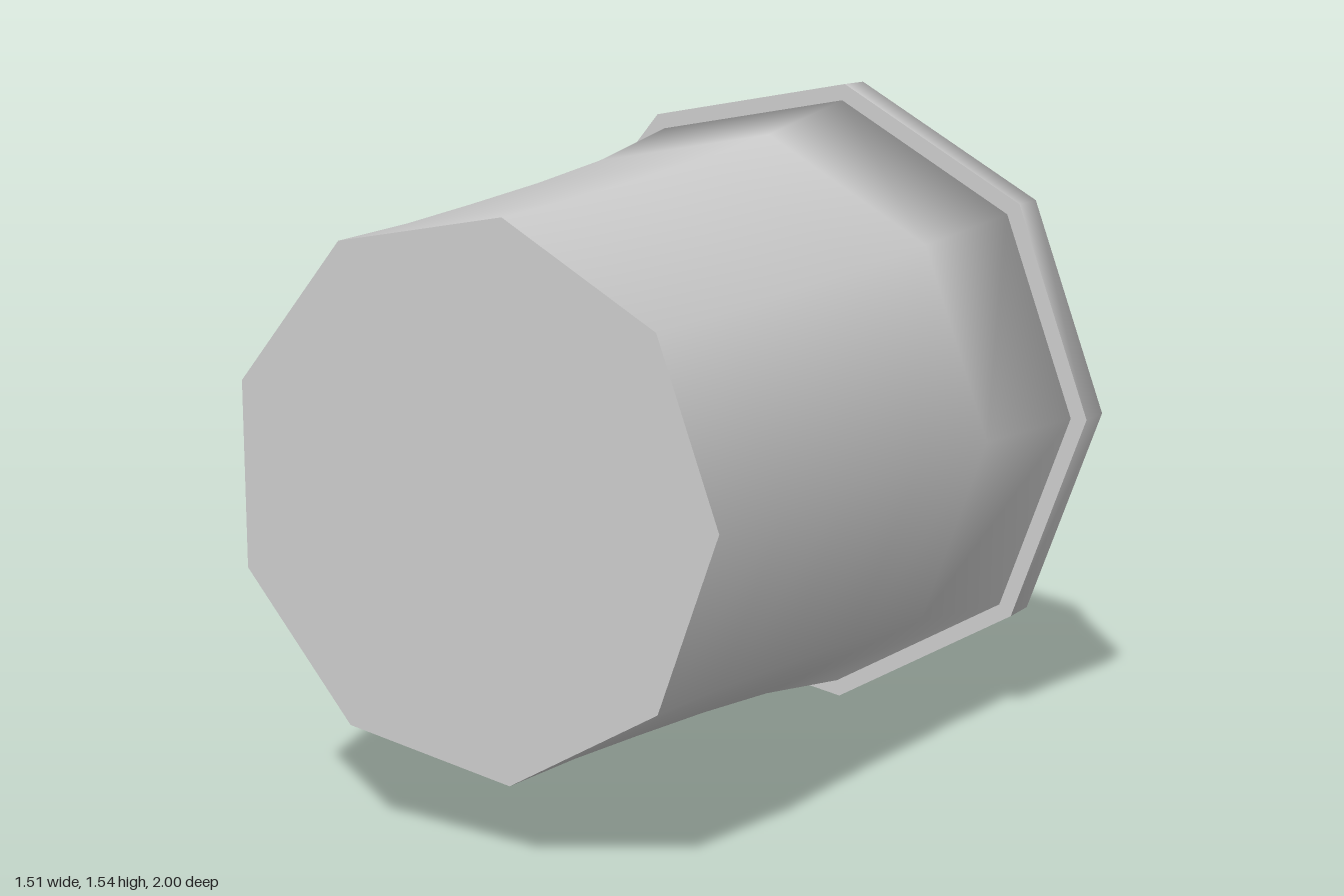
import * as THREE from 'three';

const SIDES = 9;
const material = new THREE.MeshStandardMaterial({ color: 0xcccccc });

// Nine-sided turned part lying along z; profile is [radius, z] from back to front
function turned(name, profile) {
  const points = profile.map(([r, z]) => new THREE.Vector2(r, z));
  const geometry = new THREE.LatheGeometry(points, SIDES, Math.PI / 2);
  geometry.rotateX(Math.PI / 2);
  geometry.translate(-0.026, 0.77, 0);
  const mesh = new THREE.Mesh(geometry, material);
  mesh.name = name;
  return mesh;
}

// Bracket handle: a C-shaped outline with chamfered outer corners
function createHandle() {
  const outline = [
    [0.80, 1.055], [0.94, 1.055], [0.985, 1.03], [1.0, 0.97],
    [1.0, 0.58], [0.985, 0.52], [0.94, 0.495], [0.80, 0.495],
    [0.80, 0.58], [0.94, 0.58], [0.94, 0.97], [0.80, 0.97],
  ];
  const shape = new THREE.Shape(outline.map(([back, y]) => new THREE.Vector2(back, y)));
  const geometry = new THREE.ExtrudeGeometry(shape, { depth: 0.06, bevelEnabled: false });
  geometry.rotateY(Math.PI / 2);
  geometry.translate(-0.05, 0, 0);
  const mesh = new THREE.Mesh(geometry, material);
  mesh.name = 'handle';
  return mesh;
}

export function createModel() {
  const model = new THREE.Group();
  model.name = 'lyingBin';

  // Flared bin body, its mouth rounded over into the lid
  const body = new THREE.Group();
  body.name = 'body';
  body.add(
    turned('bodyWall', [
      [0, -0.46], [0.741, -0.46], [0.683, -0.1], [0.652, 0.2],
      [0.628, 0.5], [0.61, 0.75], [0.599, 1],
    ]),
    turned('bodyBase', [[0.599, 1], [0, 1]]),
  );

  // Lid: flat top, sloped shoulder with rim band, and the rim's lip
  const lid = new THREE.Group();
  lid.name = 'lid';
  lid.add(
    turned('lidTop', [[0, -0.81], [0.482, -0.81]]),
    turned('lidShoulder', [[0.482, -0.81], [0.781, -0.56], [0.781, -0.46]]),
    turned('lidLip', [[0.781, -0.46], [0.741, -0.46]]),
    createHandle(),
  );

  model.add(body, lid);
  return model;
}
